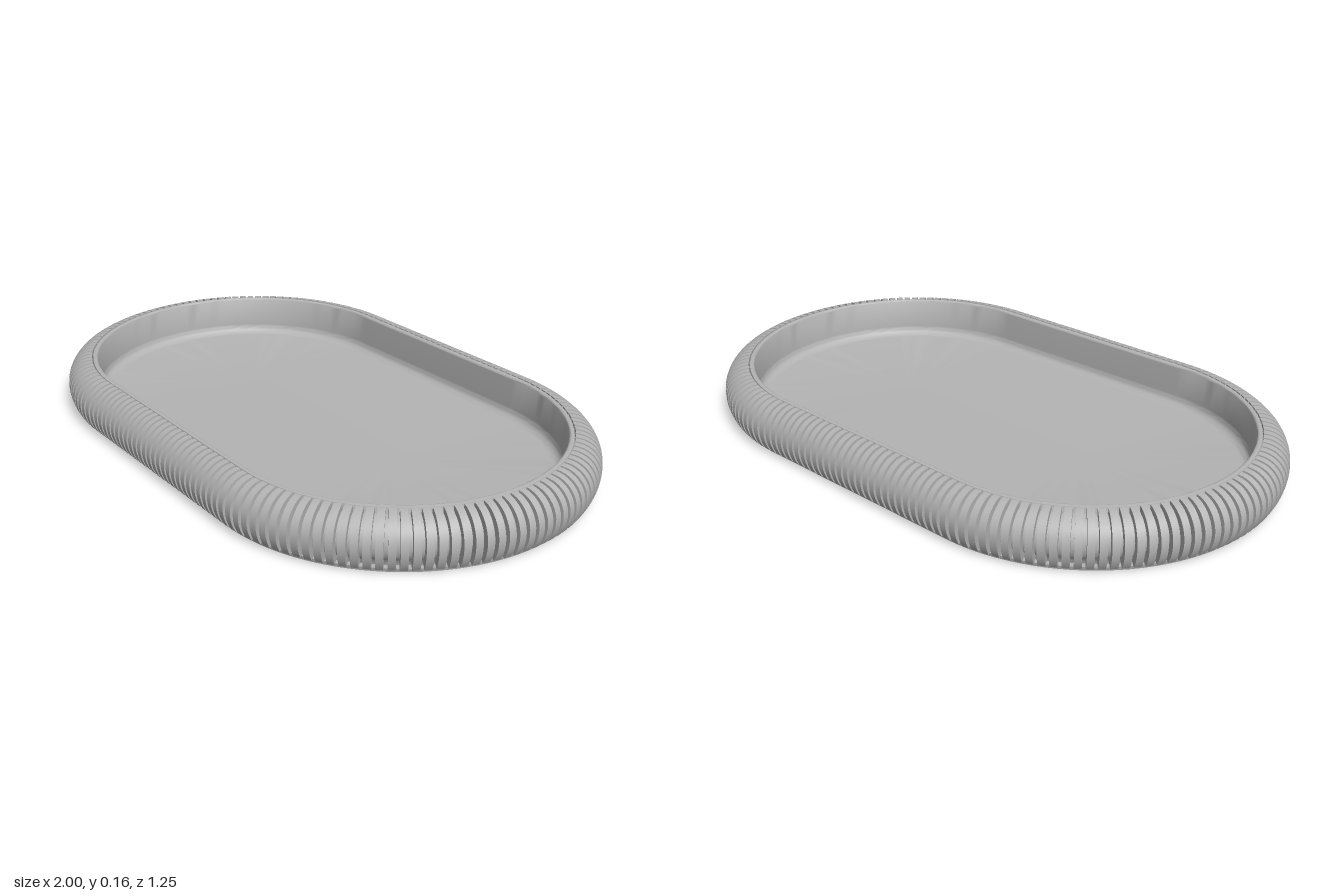
import * as THREE from 'three';
import { mergeGeometries, toCreasedNormals } from 'three/addons/utils/BufferGeometryUtils.js';

const HALF = 0.377;            // half length of the straight sides
const CX = 0.54, CY = 0.075;   // centre of the rounded rim section

// Points on a quarter-ellipse style arc, as [radius, height]
function arc(cx, cy, rx, ry, from, to, steps) {
  return Array.from({ length: steps + 1 }, (_, i) => {
    const a = from + (to - from) * i / steps;
    return [cx + rx * Math.cos(a), cy + ry * Math.sin(a)];
  });
}

// Sweeps a [radius, height] profile round a stadium outline
function sweepStadium(profile, arcSteps = 56) {
  const path = [];
  for (const side of [1, -1]) {
    for (let i = 0; i <= arcSteps; i++) {
      const a = -Math.PI / 2 + Math.PI * i / arcSteps;
      path.push([side * HALF, side * Math.cos(a), side * Math.sin(a)]);
    }
  }
  const positions = [], index = [], n = profile.length;
  for (const [ox, dx, dz] of path) {
    for (const [r, y] of profile) positions.push(ox + r * dx, y, r * dz);
  }
  for (let j = 0; j < path.length; j++) {
    const k = (j + 1) % path.length;
    for (let i = 0; i < n - 1; i++) {
      const a = j * n + i, b = k * n + i;
      index.push(a, a + 1, b, a + 1, b + 1, b);
    }
  }
  const geo = new THREE.BufferGeometry();
  geo.setAttribute('position', new THREE.Float32BufferAttribute(positions, 3));
  geo.setIndex(index);
  return toCreasedNormals(geo, 0.6);
}

// One rib: a thin slice of the rounded rim
function ribGeometry(width) {
  const low = -Math.asin(0.63);
  const outer = [
    ...arc(CX, CY, 0.083, 0.1, low, 0, 6),
    ...arc(CX, CY, 0.083, 0.084, 0, Math.PI / 2, 10).slice(1),
  ];
  const inner = arc(CX, CY, 0.054, 0.056, Math.PI / 2, -1, 8);
  const shape = new THREE.Shape([...outer, ...inner].map(([x, y]) => new THREE.Vector2(x, y)));
  const geo = new THREE.ExtrudeGeometry(shape, { depth: width, bevelEnabled: false });
  return geo.translate(0, 0, -width / 2);
}

export function createModel() {
  const group = new THREE.Group();
  const grey = new THREE.MeshStandardMaterial({ color: 0xb4b4b4 });
  grey.name = 'grey';

  // Tray body: underside, base lip, grooved wall, rim, inner wall and floor
  const body = [
    [0, 0], [0.592, 0], [0.595, 0.012], [0.578, 0.012],
    ...arc(CX, CY, 0.063, 0.065, -0.85, Math.PI / 2, 12),
    [0.536, 0.158],
    ...arc(0.528, 0.152, 0.008, 0.008, Math.PI / 2, Math.PI, 4),
    ...arc(0.488, 0.054, 0.032, 0.032, 0, -Math.PI / 2, 7),
    [0, 0.022],
  ];
  const tray = new THREE.Mesh(sweepStadium(body), grey);
  tray.name = 'tray';
  group.add(tray);

  // Ribs along the straight sides and round both ends
  const ribs = [];
  const straightCount = 27, endCount = 60;
  const straightRib = ribGeometry(0.018), endRib = ribGeometry(0.021);
  for (const side of [1, -1]) {
    for (let i = 0; i < straightCount; i++) {
      const x = -HALF + 2 * HALF * (i + 0.5) / straightCount;
      ribs.push(straightRib.clone().rotateY(side * Math.PI / 2).translate(x, 0, 0));
    }
    for (let i = 0; i < endCount; i++) {
      const a = -Math.PI / 2 + Math.PI * (i + 0.5) / endCount;
      ribs.push(endRib.clone().rotateY(a + (side < 0 ? Math.PI : 0)).translate(side * HALF, 0, 0));
    }
  }
  const ribMesh = new THREE.Mesh(toCreasedNormals(mergeGeometries(ribs), 0.6), grey);
  ribMesh.name = 'rimRibs';
  group.add(ribMesh);

  return group;
}
